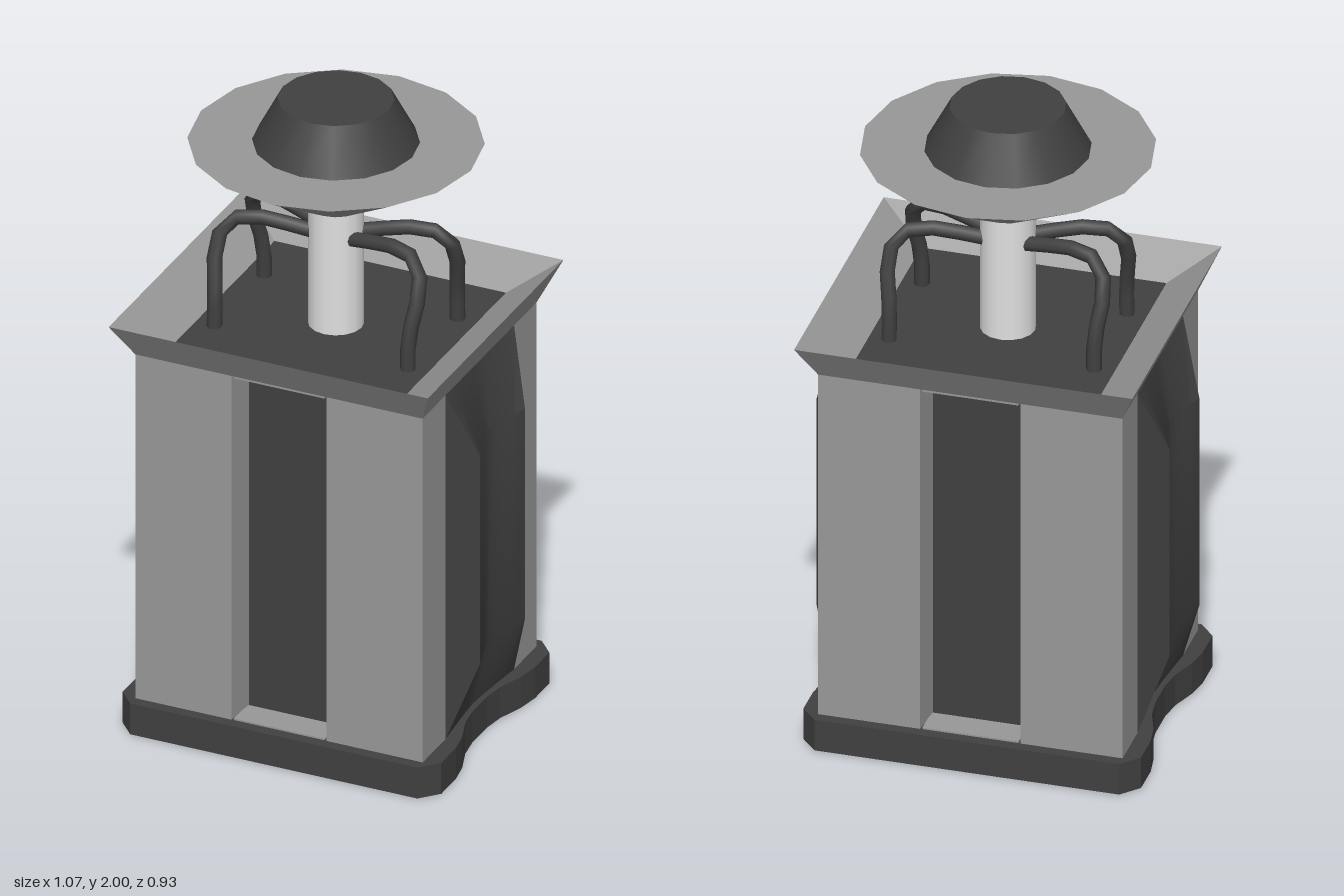
import * as THREE from 'three';
import { toCreasedNormals } from 'three/addons/utils/BufferGeometryUtils.js';

export function createModel() {
  const root = new THREE.Group();
  const makeMat = (name, color) => {
    const m = new THREE.MeshStandardMaterial({ color });
    m.name = name;
    return m;
  };
  const gray = makeMat('mid gray', 0x989898);
  const dark = makeMat('dark gray', 0x404040);
  const light = makeMat('light gray', 0xe0e0e0);

  const add = (name, geo, mat, x = 0, y = 0, z = 0) => {
    const mesh = new THREE.Mesh(geo, mat);
    mesh.name = name;
    mesh.position.set(x, y, z);
    root.add(mesh);
    return mesh;
  };

  // Mirrors one quadrant (front centre to side centre) into a full outline and raises it along y
  const prism = (quadrant, height) => {
    const q = quadrant;
    const flip = (list, sx, sy) => list.map(([x, y]) => new THREE.Vector2(x * sx, y * sy));
    const r = [...q].reverse();
    const pts = [...flip(q, 1, 1), ...flip(r, 1, -1), ...flip(q, -1, -1), ...flip(r, -1, 1)];
    const geo = new THREE.ExtrudeGeometry(new THREE.Shape(pts), { depth: height, bevelEnabled: false });
    return geo.rotateX(-Math.PI / 2);
  };

  // Skins a grid of points; each row is a list of [x, y, z]
  const skin = (rows, crease) => {
    const pos = [];
    for (let r = 0; r < rows.length - 1; r++) {
      for (let c = 0; c < rows[r].length - 1; c++) {
        const a = rows[r][c], b = rows[r][c + 1], d = rows[r + 1][c], e = rows[r + 1][c + 1];
        pos.push(...a, ...b, ...e, ...a, ...e, ...d);
      }
    }
    const geo = new THREE.BufferGeometry();
    geo.setAttribute('position', new THREE.Float32BufferAttribute(pos, 3));
    geo.computeVertexNormals();
    return crease ? toCreasedNormals(geo, crease) : geo;
  };

  // Base plinth with cut corners and waisted sides, and an inset plate underneath
  const plinth = [[0.46, 0.425], [0.51, 0.37], [0.51, 0.27], [0.498, 0.2], [0.47, 0.12], [0.46, 0.05]];
  add('base', prism(plinth, 0.102), dark, 0, 0.003, 0);
  add('basePlate', prism(plinth.map(([x, z]) => [x - 0.02, z * 0.955]), 0.006), gray);

  // Main body with front and back recesses
  add('body', prism([[0.14, 0.29], [0.152, 0.39], [0.46, 0.39], [0.46, 0.235], [0.41, 0.1]], 1.14), gray, 0, 0.102, 0);
  for (const s of [1, -1]) {
    add('recessPanel', new THREE.BoxGeometry(0.284, 1.13, 0.008), dark, 0, 0.672, s * 0.292);
    add('recessSill', new THREE.BoxGeometry(0.29, 0.008, 0.1), gray, 0, 0.106, s * 0.339);
    add('recessCeiling', new THREE.BoxGeometry(0.29, 0.008, 0.1), gray, 0, 1.237, s * 0.339);
  }

  // Side panels: two tapered ridges with a shallow valley between them
  const sideRow = (y, ridgeX, ridgeZ, valleyX) => {
    const row = [[0.46, y, 0.235]];
    const n = 8;
    for (let i = 0; i <= n; i++) {
      const t = 1 - (2 * i) / n;
      row.push([valleyX + (ridgeX - valleyX) * Math.pow(Math.abs(t), 1.3), y, ridgeZ * t]);
    }
    row.push([0.46, y, -0.235]);
    return row;
  };
  const sideGeo = skin([
    sideRow(0.104, 0.46, 0.235, 0.44),
    sideRow(0.33, 0.533, 0.155, 0.488),
    sideRow(1.02, 0.533, 0.155, 0.488),
    sideRow(1.242, 0.46, 0.235, 0.44),
  ], 0.4);
  add('sidePanelLeft', sideGeo, dark);
  add('sidePanelRight', sideGeo, dark).rotation.y = Math.PI;

  // Flared rim, its underside and the sunken top deck
  const ring = (x, y, z) => [[-x, y, z], [x, y, z], [x, y, -z], [-x, y, -z], [-x, y, z]];
  add('rim', skin([ring(0.46, 1.24, 0.39), ring(0.511, 1.355, 0.464), ring(0.37, 1.26, 0.37)]), gray);
  add('rimUnderside', new THREE.BoxGeometry(0.919, 0.006, 0.778), dark, 0, 1.244, 0);
  add('topDeck', new THREE.BoxGeometry(0.74, 0.02, 0.74), dark, 0, 1.251, 0);

  // Post, wide shade and cap
  add('post', new THREE.CylinderGeometry(0.082, 0.082, 0.42, 16), light, 0, 1.46, 0);
  add('shade', new THREE.CylinderGeometry(0.432, 0.08, 0.21, 16), gray, 0, 1.755, 0);
  add('cap', new THREE.CylinderGeometry(0.17, 0.245, 0.142, 16), dark, 0, 1.929, 0);

  // Four bent pipes from the post down to the deck
  for (const sx of [1, -1]) {
    for (const sz of [1, -1]) {
      const pts = [
        [0.065, 1.565, 0.03], [0.23, 1.592, 0.07], [0.305, 1.57, 0.095],
        [0.325, 1.49, 0.13], [0.31, 1.36, 0.165], [0.31, 1.25, 0.17],
      ].map(([x, y, z]) => new THREE.Vector3(x * sx, y, z * sz));
      const path = new THREE.CatmullRomCurve3(pts);
      add('pipe', new THREE.TubeGeometry(path, 8, 0.023, 8), dark);
      // End plug at the post
      add('pipeEnd', new THREE.SphereGeometry(0.023, 8, 6), dark, ...pts[0].toArray());
    }
  }
  return root;
}
